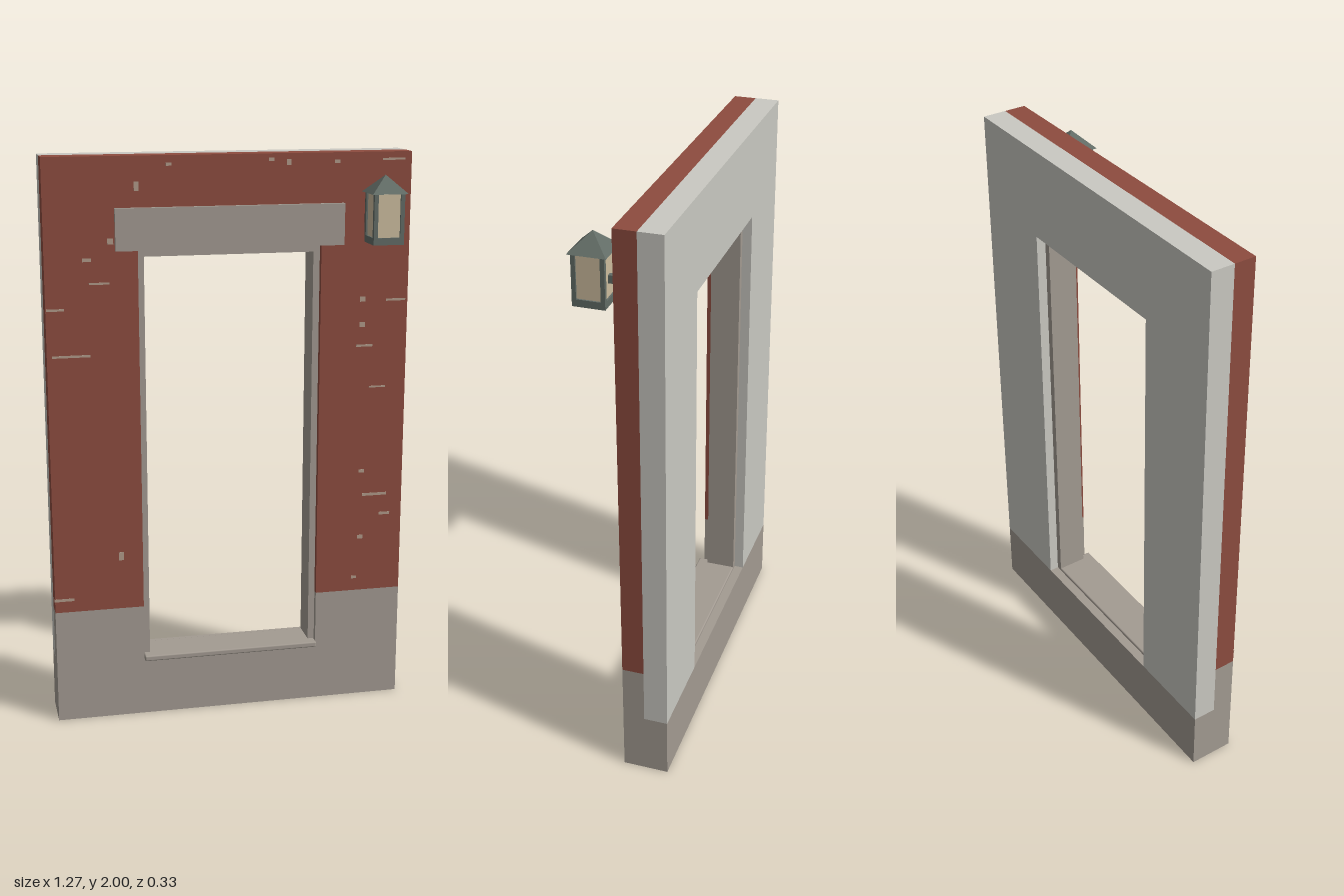
import * as THREE from 'three';
import { RoundedBoxGeometry } from 'three/addons/geometries/RoundedBoxGeometry.js';

const flat = (name, color) => {
  const m = new THREE.MeshStandardMaterial({ color });
  m.name = name;
  return m;
};

// Main dimensions
const HALF = 0.633, TOP = 2;
const OPEN = 0.318, OPEN_TOP = 1.687, OPEN_BOTTOM = 0.218;
const FRONT = -0.006, MID = -0.081, BACK = -0.163;
const PLINTH = 0.414;

export function createModel() {
  const brick = flat('brick', 0x8d4c3f);
  const mortar = flat('mortar', 0xb09a8a);
  const stone = flat('stone', 0xa39b92);
  const plaster = flat('plaster', 0xcac9c2);
  const metal = flat('lantern metal', 0x626c66);
  const darkMetal = flat('dark metal', 0x4a5450);
  const glass = flat('lantern glass', 0xcdbd9f);

  const model = new THREE.Group();
  model.name = 'doorwayWall';

  const add = (parent, name, geometry, material, x = 0, y = 0, z = 0) => {
    const mesh = new THREE.Mesh(geometry, material);
    mesh.name = name;
    mesh.position.set(x, y, z);
    parent.add(mesh);
    return mesh;
  };

  // Box given by its limits on each axis
  const box = (parent, name, material, [x0, x1], [y0, y1], [z0, z1]) =>
    add(parent, name, new THREE.BoxGeometry(x1 - x0, y1 - y0, z1 - z0), material,
      (x0 + x1) / 2, (y0 + y1) / 2, (z0 + z1) / 2);

  // Slab with an outline in x and y, reaching from z0 to z1
  const slab = (name, material, points, z0, z1) => {
    const shape = new THREE.Shape(points.map(([x, y]) => new THREE.Vector2(x, y)));
    const geometry = new THREE.ExtrudeGeometry(shape, { depth: z1 - z0, bevelEnabled: false });
    return add(model, name, geometry, material, 0, 0, z0);
  };

  // Outline of a wall above and beside the doorway
  const archOutline = (bottom, top, openTop) => [
    [-HALF, bottom], [-OPEN, bottom], [-OPEN, openTop], [OPEN, openTop],
    [OPEN, bottom], [HALF, bottom], [HALF, top], [-HALF, top],
  ];

  // Wall layers
  slab('brickFacing', brick, archOutline(PLINTH, TOP, OPEN_TOP), MID, FRONT);
  slab('plasterBacking', plaster, archOutline(OPEN_BOTTOM, TOP, OPEN_TOP), BACK, MID);
  slab('frontPlinth', stone, [
    [-HALF, 0], [HALF, 0], [HALF, PLINTH], [OPEN, PLINTH], [OPEN, OPEN_BOTTOM],
    [-OPEN, OPEN_BOTTOM], [-OPEN, PLINTH], [-HALF, PLINTH],
  ], MID, FRONT);
  box(model, 'backPlinth', stone, [-HALF, HALF], [0, OPEN_BOTTOM], [BACK, MID]);

  // Lintel, door frame and sill
  box(model, 'lintel', stone, [-0.395, 0.395], [1.688, 1.83], [-0.03, 0.011]);
  const frame = new THREE.Group();
  frame.name = 'doorFrame';
  model.add(frame);
  for (const side of [-1, 1]) {
    add(frame, 'jamb', new THREE.BoxGeometry(0.023, OPEN_TOP - 0.22, 0.104), stone,
      side * 0.3065, (OPEN_TOP + 0.22) / 2, -0.078);
  }
  box(frame, 'frameHead', stone, [-0.295, 0.295], [1.663, OPEN_TOP], [-0.13, -0.026]);
  add(model, 'sill', new RoundedBoxGeometry(0.636, 0.02, 0.143, 2, 0.005), stone, 0, 0.218, -0.0585);

  // Worn mortar lines on the brick face: x, y, width, height
  const marks = [
    [-0.32, 1.90, 0.016, 0.03], [-0.21, 1.97, 0.02, 0.01], [0.14, 1.98, 0.02, 0.012],
    [0.20, 1.97, 0.015, 0.02], [0.37, 1.97, 0.02, 0.012], [0.57, 1.975, 0.08, 0.007],
    [-0.41, 1.72, 0.02, 0.02], [-0.49, 1.66, 0.03, 0.012], [0.59, 1.49, 0.07, 0.008],
    [-0.45, 1.58, 0.07, 0.007], [-0.60, 1.495, 0.06, 0.008], [0.47, 1.495, 0.02, 0.018],
    [0.47, 1.405, 0.02, 0.018], [-0.55, 1.335, 0.13, 0.008], [0.48, 1.33, 0.06, 0.008],
    [0.53, 1.18, 0.06, 0.006], [0.53, 0.78, 0.09, 0.01], [0.57, 0.705, 0.04, 0.01],
    [0.48, 0.87, 0.02, 0.012], [-0.395, 0.61, 0.018, 0.03], [0.48, 0.62, 0.02, 0.014],
    [-0.60, 0.46, 0.07, 0.01], [0.46, 0.465, 0.02, 0.01],
  ];
  for (const [x, y, w, h] of marks) {
    add(model, 'mortarMark', new THREE.BoxGeometry(w, h, 0.002), mortar, x, y, FRONT);
  }

  // Wall lantern
  const lantern = new THREE.Group();
  lantern.name = 'lantern';
  lantern.position.set(0.507, 0, 0.1);
  model.add(lantern);

  add(lantern, 'wallPlate', new RoundedBoxGeometry(0.078, 0.124, 0.018, 2, 0.007), darkMetal, 0, 1.785, -0.098);
  box(lantern, 'arm', metal, [-0.009, 0.009], [1.772, 1.798], [-0.092, -0.045]);

  const roofGeometry = new THREE.ConeGeometry(0.0625 * Math.SQRT2, 0.06, 4, 1).toNonIndexed();
  roofGeometry.rotateY(Math.PI / 4);
  roofGeometry.computeVertexNormals();
  add(lantern, 'lanternRoof', roofGeometry, metal, 0, 1.902, 0);

  box(lantern, 'lanternBase', metal, [-0.053, 0.053], [1.703, 1.727], [-0.053, 0.053]);
  box(lantern, 'lanternGlass', glass, [-0.047, 0.047], [1.727, 1.87], [-0.047, 0.047]);
  for (const sx of [-1, 1]) for (const sz of [-1, 1]) {
    add(lantern, 'lanternPost', new THREE.BoxGeometry(0.014, 0.146, 0.014), metal,
      sx * 0.046, 1.799, sz * 0.046);
  }

  return model;
}
